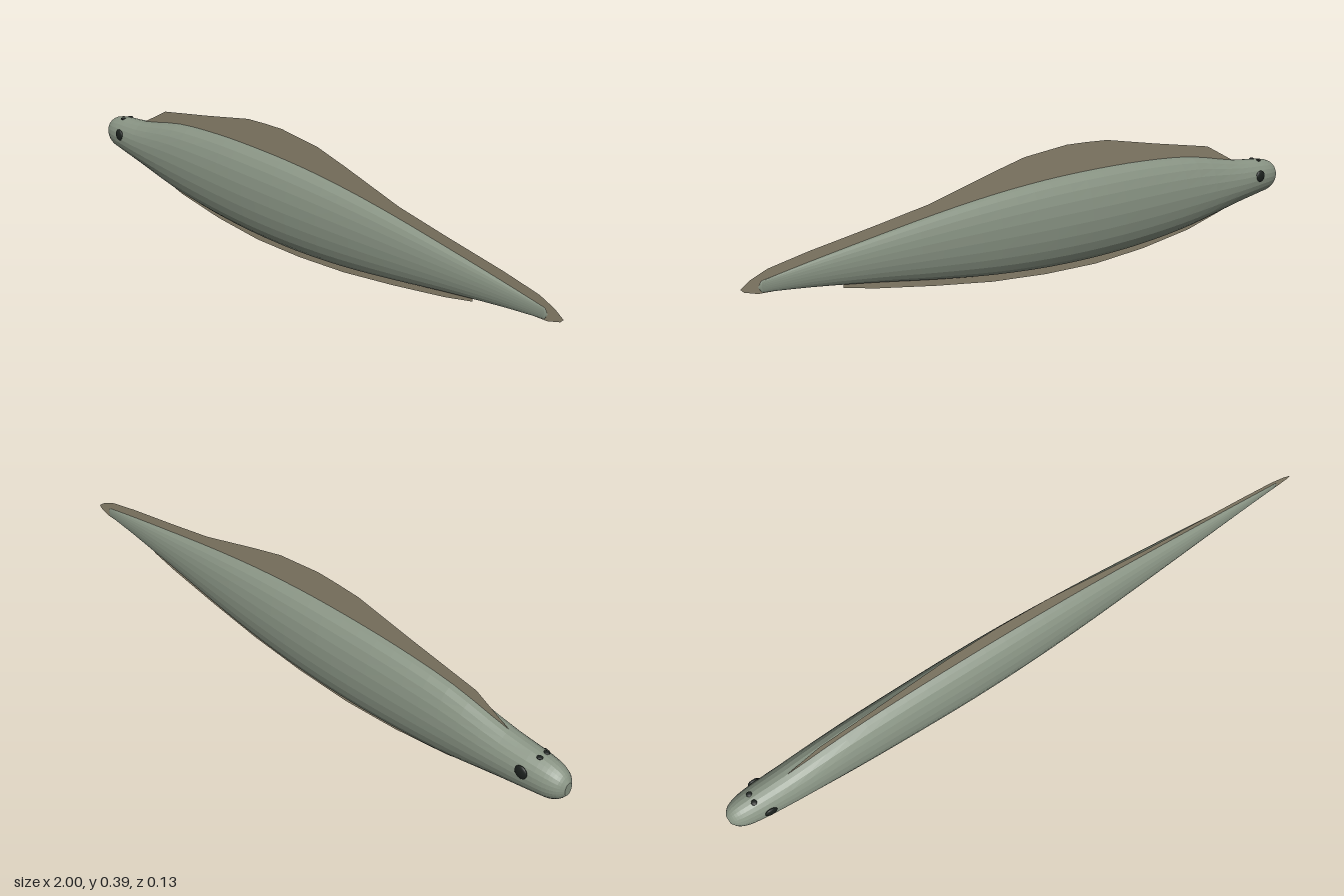
import * as THREE from 'three';

const skin = new THREE.MeshStandardMaterial({ color: 0x8a9585, flatShading: true });
const finSkin = new THREE.MeshStandardMaterial({ color: 0x8f8670, side: THREE.DoubleSide });
const dark = new THREE.MeshStandardMaterial({ color: 0x1c211e });

// Body stations: x, top y, bottom y, half width
const STATIONS = [
  [-1, 0.185, 0.145, 0.014], [-0.985, 0.205, 0.128, 0.032], [-0.96, 0.218, 0.115, 0.043],
  [-0.92, 0.226, 0.109, 0.05], [-0.8, 0.24, 0.09, 0.057], [-0.6, 0.28, 0.052, 0.062],
  [-0.4, 0.297, 0.031, 0.064], [-0.2, 0.302, 0.024, 0.065], [0, 0.299, 0.029, 0.061],
  [0.2, 0.286, 0.046, 0.052], [0.4, 0.264, 0.074, 0.04], [0.6, 0.236, 0.107, 0.027],
  [0.8, 0.206, 0.136, 0.013], [0.94, 0.183, 0.152, 0.003],
];

// Linear lookup of centre, half height and half width at x
function section(x) {
  let i = 0;
  while (i < STATIONS.length - 2 && x > STATIONS[i + 1][0]) i++;
  const a = STATIONS[i], b = STATIONS[i + 1];
  const t = (x - a[0]) / (b[0] - a[0]);
  const [top, bottom, w] = [1, 2, 3].map((k) => THREE.MathUtils.lerp(a[k], b[k], t));
  return { y: (top + bottom) / 2, h: (top - bottom) / 2, w };
}

// Elliptical loft through the stations, closed with a fan at each end
function bodyGeometry(sides = 24) {
  const curves = [0, 1].map((k) => new THREE.CatmullRomCurve3(
    STATIONS.map((s) => new THREE.Vector3(s[0], s[1 + k], s[3])), false, 'centripetal'));
  const perSpan = 3, rings = (STATIONS.length - 1) * perSpan;
  const pos = [], index = [];
  for (let i = 0; i <= rings; i++) {
    const top = curves[0].getPoint(i / rings), bottom = curves[1].getPoint(i / rings);
    const y = (top.y + bottom.y) / 2, h = (top.y - bottom.y) / 2;
    for (let j = 0; j < sides; j++) {
      const a = (j / sides) * Math.PI * 2;
      pos.push(top.x, y + h * Math.cos(a), top.z * Math.sin(a));
      if (i === rings) continue;
      const p = i * sides + j, q = i * sides + (j + 1) % sides;
      index.push(p, q, p + sides, q, q + sides, p + sides);
    }
  }
  const nose = pos.length / 3, end = rings * sides;
  pos.push(-1, 0.165, 0, 0.95, 0.167, 0);
  for (let j = 0; j < sides; j++) {
    const k = (j + 1) % sides;
    index.push(nose, k, j, nose + 1, end + j, end + k);
  }
  // Wind every face outwards
  for (let i = 0; i < index.length; i += 3) [index[i + 1], index[i + 2]] = [index[i + 2], index[i + 1]];
  const g = new THREE.BufferGeometry();
  g.setAttribute('position', new THREE.Float32BufferAttribute(pos, 3));
  g.setIndex(index);
  g.computeVertexNormals();
  return g;
}

export function createModel() {
  const model = new THREE.Group();
  const add = (name, geometry, material) => {
    const mesh = new THREE.Mesh(geometry, material);
    mesh.name = name;
    model.add(mesh);
    return mesh;
  };
  const sheet = (points) => new THREE.ShapeGeometry(
    new THREE.Shape(points.map(([x, y]) => new THREE.Vector2(x, y))));

  const body = bodyGeometry();
  // Signed volume check keeps the skin facing outwards
  const p = body.attributes.position, ix = body.index.array;
  const v = [0, 1, 2].map(() => new THREE.Vector3());
  let volume = 0;
  for (let i = 0; i < ix.length; i += 3) {
    v.forEach((c, k) => c.fromBufferAttribute(p, ix[i + k]));
    volume += v[0].dot(v[1].cross(v[2]));
  }
  if (volume < 0) {
    for (let i = 0; i < ix.length; i += 3) [ix[i + 1], ix[i + 2]] = [ix[i + 2], ix[i + 1]];
    body.computeVertexNormals();
  }
  add('body', body, skin);

  // Long back fin running into the tail tip
  add('dorsalFin', sheet([
    [-0.82, 0.225], [-0.79, 0.245], [-0.68, 0.303], [-0.45, 0.345], [-0.24, 0.386], [-0.16, 0.391],
    [-0.08, 0.394], [0.08, 0.38], [0.2, 0.352], [0.42, 0.296], [0.6, 0.266], [0.8, 0.235],
    [0.92, 0.212], [0.97, 0.192], [1, 0.172], [0.99, 0.162], [0.95, 0.15], [0.88, 0.147],
    [0.8, 0.16], [0, 0.2], [-0.6, 0.2],
  ]), finSkin);

  // Belly fin
  add('analFin', sheet([
    [-0.82, 0.11], [-0.78, 0.08], [-0.6, 0.036], [-0.4, 0.011], [-0.2, 0], [0, 0.007],
    [0.2, 0.025], [0.4, 0.055], [0.6, 0.09], [0.7, 0.113], [0.7, 0.14], [0, 0.12], [-0.6, 0.12],
  ]), finSkin);

  // Eyes on the sides and nostrils on top of the head
  for (const side of [-1, 1]) {
    const name = side > 0 ? 'Front' : 'Back';
    const e = section(-0.885);
    const eye = add('eye' + name, new THREE.SphereGeometry(0.02, 16, 10), dark);
    eye.scale.z = 0.35;
    eye.position.set(-0.885, 0.18, side * e.w * Math.sqrt(1 - ((0.18 - e.y) / e.h) ** 2));
    const n = section(-0.912);
    const nostril = add('nostril' + name, new THREE.SphereGeometry(0.009, 10, 8), dark);
    nostril.scale.y = 0.4;
    nostril.position.set(-0.912, n.y + n.h * Math.sqrt(1 - (0.014 / n.w) ** 2), side * 0.014);
  }
  return model;
}
